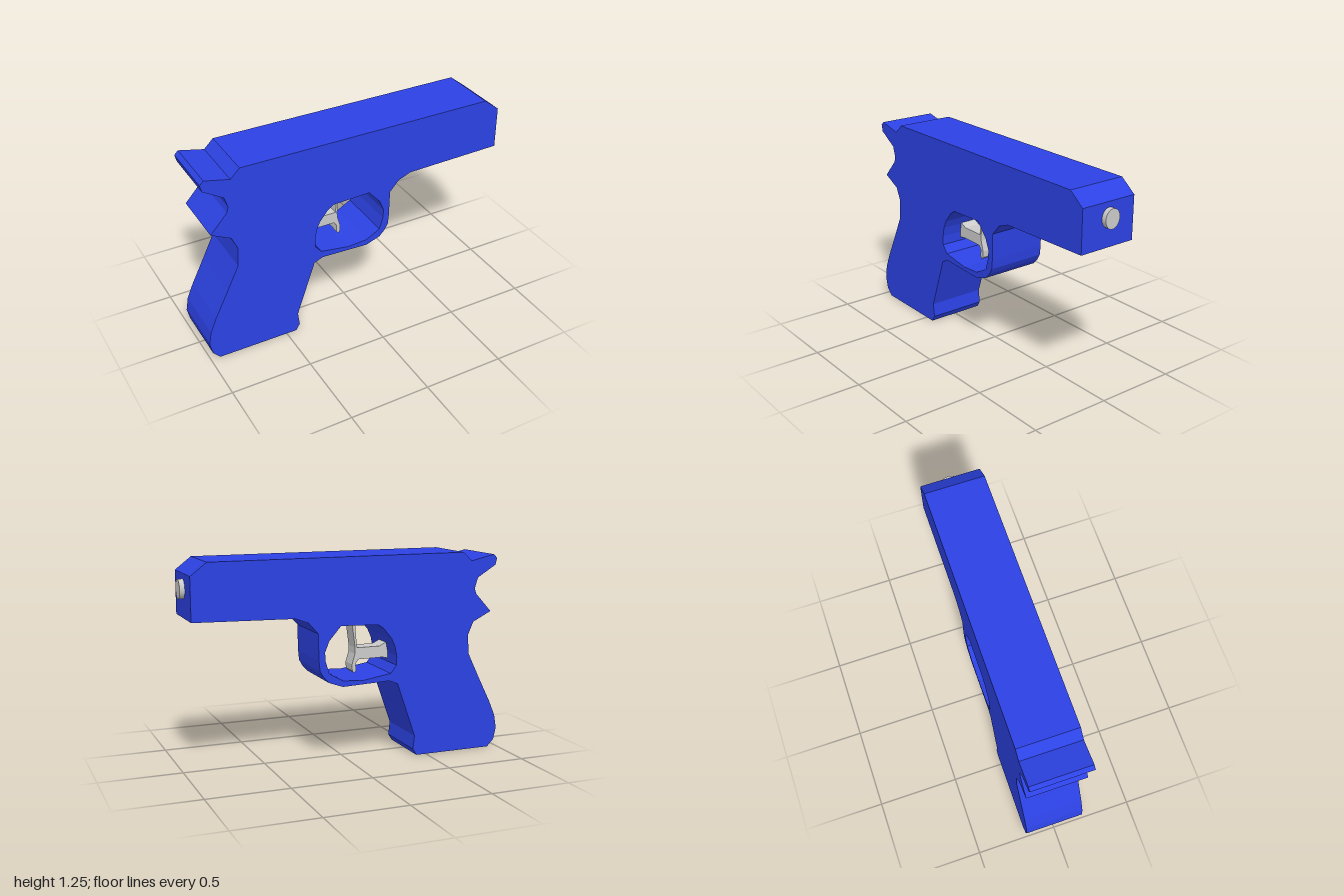
import * as THREE from 'three';

const DEPTH = 0.37;

// Flat-sided slab: a side profile extruded symmetrically about z = 0
function slab(name, profile, depth, material, hole) {
  const toPoints = (list) => list.map(([x, y]) => new THREE.Vector2(x, y));
  const shape = new THREE.Shape(toPoints(profile));
  if (hole) shape.holes.push(new THREE.Path(toPoints(hole)));
  const geometry = new THREE.ExtrudeGeometry(shape, { depth, bevelEnabled: false });
  geometry.translate(0, 0, -depth / 2);
  const mesh = new THREE.Mesh(geometry, material);
  mesh.name = name;
  return mesh;
}

export function createModel() {
  const group = new THREE.Group();
  group.name = 'toyPistol';
  const blue = new THREE.MeshStandardMaterial({ color: 0x2c42e4 });
  const grey = new THREE.MeshStandardMaterial({ color: 0xcccccc });

  // Upper slide with the hammer spur at the back
  group.add(slab('slide', [
    [-0.82, 1.03], [0.97, 1.03], [0.97, 1.18], [0.873, 1.255], [-0.738, 1.255],
    [-0.795, 1.2], [-0.948, 1.235], [-0.972, 1.212], [-0.962, 1.17], [-0.84, 1.095],
  ], DEPTH, blue));

  // Frame, trigger guard and grip in one outline, pierced by the guard opening
  group.add(slab('frameAndGrip', [
    [-0.82, 1.03], [-0.83, 0.995], [-0.935, 0.88], [-0.815, 0.82], [-0.78, 0.74],
    [-0.787, 0.62], [-0.862, 0.465], [-0.945, 0.3], [-0.985, 0.205], [-1, 0.12],
    [-0.983, 0.045], [-0.94, 0], [-0.435, 0], [-0.41, 0.04], [-0.42, 0.125],
    [-0.3, 0.467], [-0.243, 0.49], [0.06, 0.478], [0.15, 0.51], [0.185, 0.548],
    [0.206, 0.585], [0.212, 0.645], [0.216, 0.81], [0.275, 0.876], [0.355, 0.907],
    [0.97, 0.92], [0.97, 1.03],
  ], DEPTH, blue, [
    [-0.168, 0.84], [0.072, 0.848], [0.147, 0.762], [0.174, 0.695], [0.17, 0.64],
    [0.147, 0.565], [0.057, 0.515], [-0.07, 0.507], [-0.253, 0.535], [-0.292, 0.583],
    [-0.292, 0.64], [-0.28, 0.7], [-0.258, 0.75], [-0.205, 0.815],
  ]));

  // Trigger blade with its rearward bar
  group.add(slab('trigger', [
    [-0.31, 0.72], [-0.235, 0.683], [-0.085, 0.683], [-0.07, 0.86], [-0.05, 0.86],
    [-0.073, 0.685], [-0.072, 0.645], [-0.053, 0.58], [-0.055, 0.54], [-0.067, 0.527],
    [-0.079, 0.54], [-0.077, 0.585], [-0.095, 0.61], [-0.255, 0.612], [-0.31, 0.6],
  ], 0.105, grey));

  // Muzzle stub on the front face
  const muzzle = new THREE.Mesh(new THREE.CylinderGeometry(0.058, 0.058, 0.05, 32), grey);
  muzzle.name = 'muzzle';
  muzzle.rotation.z = -Math.PI / 2;
  muzzle.scale.z = 0.88;
  muzzle.position.set(0.975, 1.09, -0.005);
  group.add(muzzle);

  return group;
}
